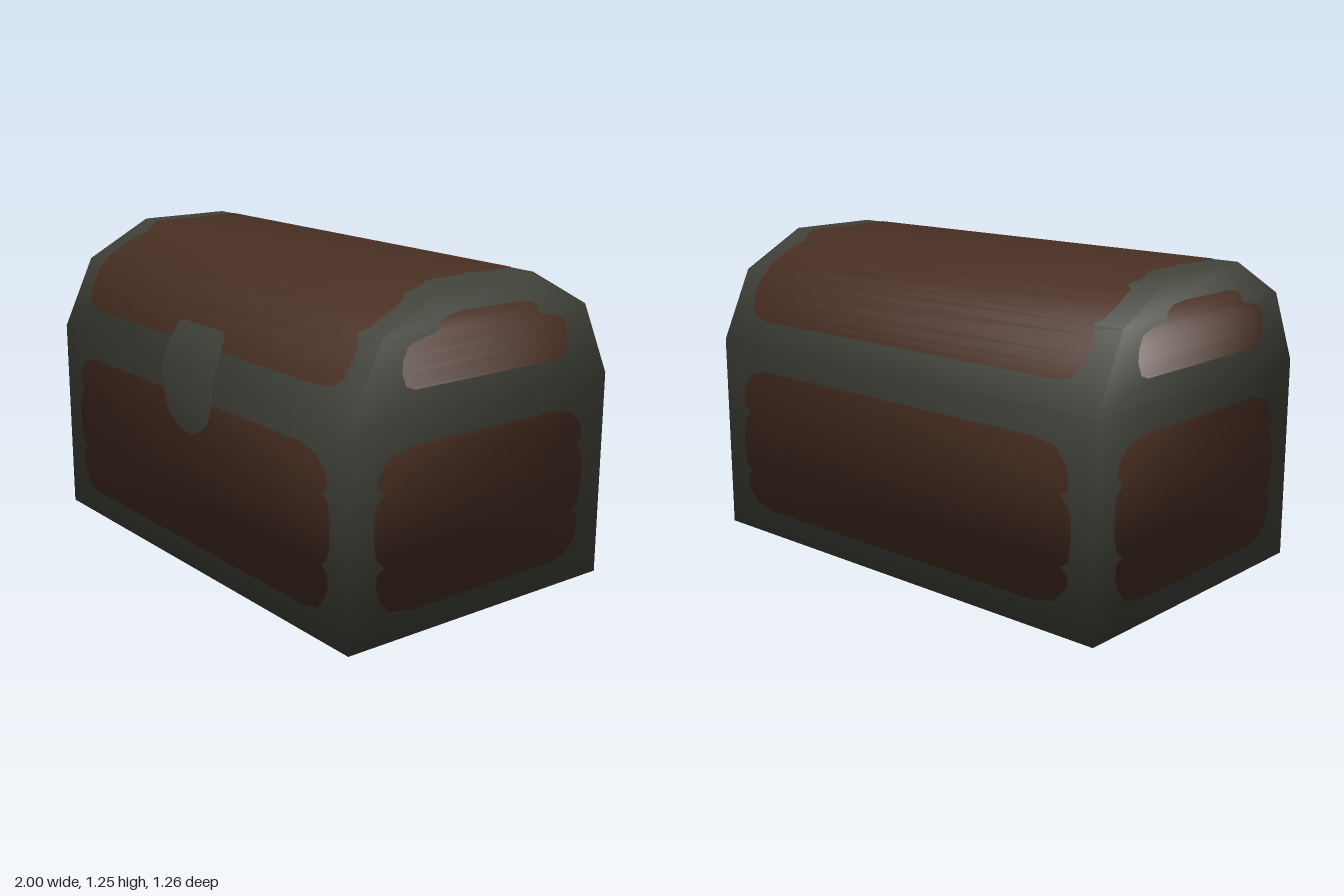
import * as THREE from 'three';

const HALF = 0.998;
// Chest cross-section (z, y), from the front foot over the lid to the back foot
const PROFILE = [[0.625, 0], [0.625, 0.815], [0.49, 1.1], [0.205, 1.25],
  [-0.205, 1.25], [-0.49, 1.1], [-0.625, 0.815], [-0.625, 0]];

// Inset and height fraction of a plank panel with rounded corners and side nicks
const PLANKS = [[0.16, 0], [0.07, 0.03], [0.025, 0.12], [0.01, 0.2], [0.015, 0.28], [0.05, 0.31],
  [0.015, 0.36], [0, 0.45], [0, 0.6], [0.01, 0.7], [0.045, 0.745], [0.01, 0.79],
  [0.02, 0.87], [0.07, 0.96], [0.16, 1]];
const planks = (width, from, to) => PLANKS.map(([inset, f]) => [width - inset, from + (to - from) * f]);

// Half of the lid panel, t counted in lid facets from the front hinge line
const LID_HALF = [[0.78, 0.335], [0.85, 0.39], [0.885, 0.5], [0.895, 0.65], [0.893, 0.88],
  [0.87, 1], [0.893, 1.12], [0.897, 1.4], [0.89, 1.64], [0.86, 1.73], [0.89, 1.82],
  [0.895, 2], [0.895, 2.4]];
const LID = [...LID_HALF, [0.87, 2.5], ...LID_HALF.slice().reverse().map(([w, t]) => [w, 5 - t])];

// Smooth closed hull; vertex 2i is on the right (-x), 2i + 1 on the left (+x)
function hullGeometry() {
  const positions = PROFILE.flatMap(([z, y]) => [-HALF, y, z, HALF, y, z]);
  const index = [];
  const quad = (a, b, c, d) => index.push(a, b, c, a, c, d);
  for (let i = 0; i < 8; i++) {
    const j = (i + 1) % 8;
    quad(2 * i, 2 * i + 1, 2 * j + 1, 2 * j);
  }
  for (let i = 0; i < 3; i++) {
    const j = 7 - i;
    quad(2 * i + 1, 2 * j + 1, 2 * j - 1, 2 * i + 3);
    quad(2 * j, 2 * i, 2 * i + 2, 2 * j - 2);
  }
  const g = new THREE.BufferGeometry();
  g.setAttribute('position', new THREE.Float32BufferAttribute(positions, 3));
  g.setIndex(index);
  g.computeVertexNormals();
  return g;
}

export function createModel() {
  const group = new THREE.Group();
  const frameMat = new THREE.MeshStandardMaterial({ color: 0x42433a });
  frameMat.name = 'dark iron';
  const woodMat = new THREE.MeshStandardMaterial({ color: 0x4a3024 });
  woodMat.name = 'brown wood';

  const hull = hullGeometry();
  const corner = (i, name) => new THREE.Vector3().fromBufferAttribute(hull.getAttribute(name), i);

  const add = (name, geometry, material) => {
    const mesh = new THREE.Mesh(geometry, material);
    mesh.name = name;
    group.add(mesh);
  };
  add('ironFrame', hull, frameMat);

  // Thin painted sheet: rows of [half width, t] laid between two rails of hull corners
  function sheet(name, left, right, keys, rows, material, lift = 0.002) {
    const pos = [], nor = [], index = [];
    rows.forEach(([w, t], r) => {
      let k = 0;
      while (k < keys.length - 2 && t > keys[k + 1]) k++;
      const f = (t - keys[k]) / (keys[k + 1] - keys[k]);
      const along = (rail, attr) => corner(rail[k], attr).lerp(corner(rail[k + 1], attr), f);
      const a = along(left, 'position'), b = along(right, 'position');
      const na = along(left, 'normal'), nb = along(right, 'normal');
      const half = a.distanceTo(b) / 2;
      for (const side of [-1, 1]) {
        const u = 0.5 + side * w / half / 2;
        const n = na.clone().lerp(nb, u).normalize();
        const p = a.clone().lerp(b, u).addScaledVector(n, lift);
        pos.push(p.x, p.y, p.z);
        nor.push(n.x, n.y, n.z);
      }
      if (r > 0) {
        const i = 2 * r - 2;
        index.push(i, i + 1, i + 3, i, i + 3, i + 2);
      }
    });
    const g = new THREE.BufferGeometry();
    g.setAttribute('position', new THREE.Float32BufferAttribute(pos, 3));
    g.setAttribute('normal', new THREE.Float32BufferAttribute(nor, 3));
    g.setIndex(index);
    add(name, g, material);
  }

  const rightRail = (...ids) => ids.map(i => 2 * i);
  const leftRail = (...ids) => ids.map(i => 2 * i + 1);
  const wrap = (name, ids, keys, rows, mat, lift) =>
    sheet(name, rightRail(...ids), leftRail(...ids), keys, rows, mat, lift);

  // Wooden panels around the chest
  wrap('frontPanel', [0, 1], [0, 0.815], planks(0.893, 0.105, 0.71), woodMat);
  wrap('backPanel', [6, 7], [0.815, 0], planks(0.893, 0.71, 0.105), woodMat);
  wrap('bottomPanel', [7, 0], [0, 1.25], planks(0.89, 0.1, 1.15), woodMat);
  wrap('lidPanel', [1, 2, 3, 4, 5, 6], [0, 1, 2, 3, 4, 5], LID, woodMat);

  // Lock plate, below and above the hinge line
  wrap('lockPlateLower', [0, 1], [0, 0.815], [[0.03, 0.565], [0.09, 0.59], [0.135, 0.625],
    [0.155, 0.66], [0.165, 0.695], [0.18, 0.72], [0.18, 0.815]], frameMat, 0.005);
  wrap('lockPlateUpper', [1, 2], [0, 1], [[0.18, 0], [0.18, 0.34], [0.168, 0.4],
    [0.165, 0.52], [0.145, 0.575]], frameMat, 0.005);

  // Panels on both ends
  const endKeys = [0, 0.815, 1.1, 1.25];
  const endLid = [[0.34, 0.905], [0.38, 0.92], [0.4, 0.97], [0.395, 1.02], [0.375, 1.06],
    [0.33, 1.075], [0.26, 1.088], [0.24, 1.1], [0.23, 1.125], [0.2, 1.143], [0.13, 1.15]];
  const front = [0, 1, 2, 3], back = [7, 6, 5, 4];
  for (const [side, l, r] of [['left', leftRail(...front), leftRail(...back)],
    ['right', rightRail(...back), rightRail(...front)]]) {
    sheet(side + 'EndPanel', l, r, endKeys, planks(0.515, 0.1, 0.71), woodMat);
    sheet(side + 'LidEndPanel', l, r, endKeys, endLid, woodMat);
  }
  return group;
}
